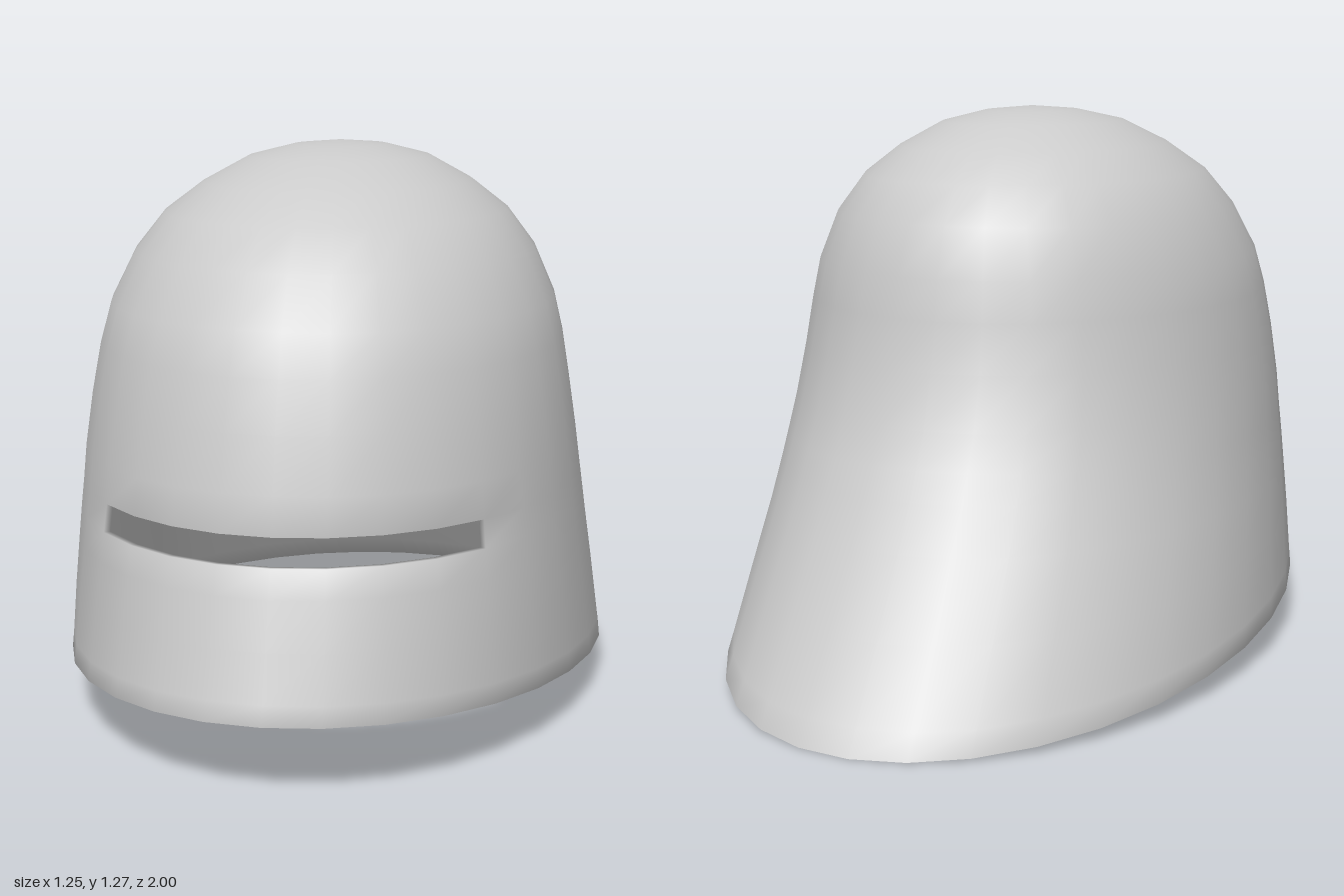
import * as THREE from 'three';

const SEG = 32, THICK = 0.015;
const SLIT_ROW = 4, SLIT_HALF = 4; // slit lies between rows 4 and 5, four segments each side of the front

// Elliptical cross-sections: [y at front, y at back, front z, back z, half width]
const RINGS = [
  [0.16, 0.0, 1.0, -1.0, 0.625],
  [0.2, 0.05, 0.985, -0.962, 0.62],
  [0.3, 0.2, 0.955, -0.857, 0.607],
  [0.4, 0.36, 0.92, -0.745, 0.592],
  [0.46, 0.46, 0.9, -0.685, 0.583],
  [0.52, 0.52, 0.883, -0.65, 0.576],
  [0.6, 0.6, 0.868, -0.607, 0.567],
  [0.72, 0.72, 0.84, -0.565, 0.55],
  [0.83, 0.83, 0.805, -0.54, 0.532],
  [0.92, 0.92, 0.77, -0.525, 0.51],
  [1.03, 1.03, 0.69, -0.487, 0.46],
  [1.115, 1.115, 0.6, -0.42, 0.395],
  [1.18, 1.18, 0.48, -0.325, 0.31],
  [1.235, 1.235, 0.33, -0.2, 0.21],
  [1.26, 1.26, 0.19, -0.08, 0.11],
];
const ROWS = RINGS.length, POLE = ROWS * SEG, LAYER = POLE + 1;

const id = (i, j) => i * SEG + (j + SEG) % SEG;
const inSlit = (i, j) => i === SLIT_ROW && (j < SLIT_HALF || j >= SEG - SLIT_HALF);

function buildGeometry(positions, index) {
  const g = new THREE.BufferGeometry();
  g.setAttribute('position', new THREE.Float32BufferAttribute(positions, 3));
  g.setIndex(index);
  g.computeVertexNormals();
  return g;
}

// Triangles of one skin, optionally leaving the slit open
function skin(open) {
  const out = [];
  for (let j = 0; j < SEG; j++) {
    for (let i = 0; i < ROWS - 1; i++) {
      if (open && inSlit(i, j)) continue;
      const a = id(i, j), b = id(i, j + 1), c = id(i + 1, j + 1), d = id(i + 1, j);
      out.push(a, b, c, a, c, d);
    }
    out.push(id(ROWS - 1, j), id(ROWS - 1, j + 1), POLE);
  }
  return out;
}

function helmetGeometry() {
  // Outer skin points
  const outer = [];
  for (const [yf, yb, zf, zb, w] of RINGS) {
    for (let j = 0; j < SEG; j++) {
      const t = j / SEG * Math.PI * 2, k = (1 + Math.cos(t)) / 2;
      outer.push(w * Math.sin(t), yb + (yf - yb) * k, zb + (zf - zb) * k);
    }
  }
  outer.push(0, 1.27, 0.055);

  // Inner skin: offset inward, keeping rim and slit edges level
  const normals = buildGeometry(outer, skin(false)).attributes.normal.array;
  const inner = outer.map((v, n) => {
    const level = n % 3 === 1 && n < (SLIT_ROW + 2) * SEG * 3;
    return level ? v : v - THICK * normals[n];
  });

  // Outer skin, then the inner skin with reversed faces
  const index = skin(true);
  const count = index.length;
  for (let n = 0; n < count; n += 3) {
    index.push(index[n] + LAYER, index[n + 2] + LAYER, index[n + 1] + LAYER);
  }

  // Edge walls joining both skins; a to b follows the outer face's edge
  const wall = (a, b) => index.push(b, a, a + LAYER, b, a + LAYER, b + LAYER);
  for (let j = 0; j < SEG; j++) wall(id(0, j), id(0, j + 1));
  for (let j = -SLIT_HALF; j < SLIT_HALF; j++) {
    wall(id(SLIT_ROW, j + 1), id(SLIT_ROW, j));
    wall(id(SLIT_ROW + 1, j), id(SLIT_ROW + 1, j + 1));
  }
  wall(id(SLIT_ROW, -SLIT_HALF), id(SLIT_ROW + 1, -SLIT_HALF));
  wall(id(SLIT_ROW + 1, SLIT_HALF), id(SLIT_ROW, SLIT_HALF));

  return buildGeometry([...outer, ...inner], index);
}

export function createModel() {
  const group = new THREE.Group();
  group.name = 'helmet';
  const material = new THREE.MeshStandardMaterial({ color: 0xcccccc, side: THREE.DoubleSide });
  const shell = new THREE.Mesh(helmetGeometry(), material);
  shell.name = 'helmetShell';
  group.add(shell);
  return group;
}
